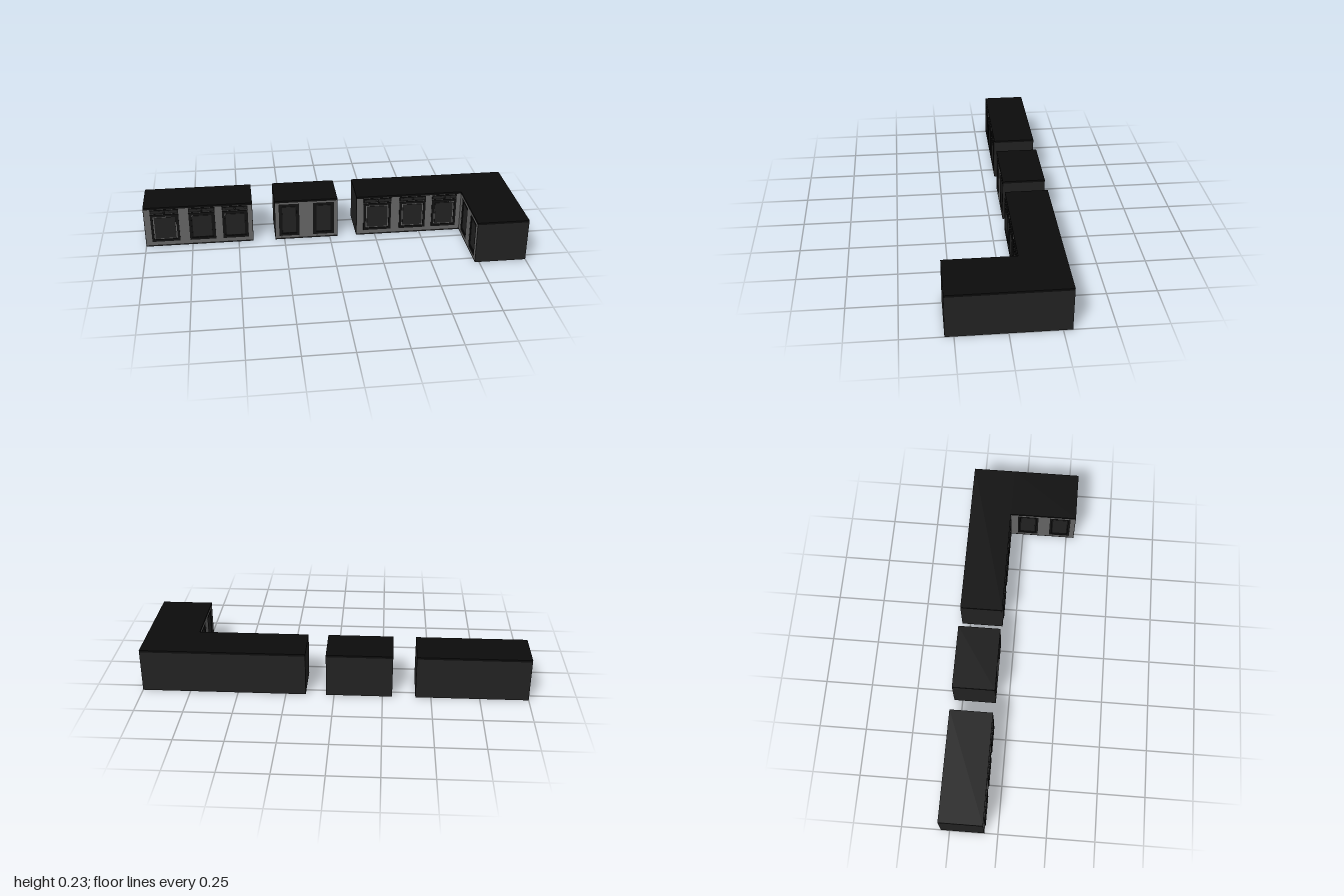
import * as THREE from 'three';

const mat = (c) => new THREE.MeshStandardMaterial({ color: c });
const body = mat(0x222222), counter = mat(0x0c0c0c), face = mat(0x666666);
const trim = mat(0x111111), panel = mat(0x222222);

const TOP = 0.233, SLAB = 0.222, BACK = -0.295, FRONT = -0.07, FACE = 0.01;

function box(parent, name, material, x0, x1, y0, y1, z0, z1) {
  const m = new THREE.Mesh(new THREE.BoxGeometry(x1 - x0, y1 - y0, z1 - z0), material);
  m.position.set((x0 + x1) / 2, (y0 + y1) / 2, (z0 + z1) / 2);
  m.name = name;
  parent.add(m);
  return m;
}

const rect = (C, x0, x1, y0, y1) => new C([
  [x0, y0], [x1, y0], [x1, y1], [x0, y1],
].map(([x, y]) => new THREE.Vector2(x, y)));

// Flat plate with rectangular openings, from z to z + depth
function plate(parent, name, material, outer, holes, z, depth) {
  const shape = rect(THREE.Shape, ...outer);
  for (const h of holes) shape.holes.push(rect(THREE.Path, ...h));
  const m = new THREE.Mesh(new THREE.ExtrudeGeometry(shape, { depth, bevelEnabled: false }), material);
  m.position.z = z;
  m.name = name;
  parent.add(m);
}

// Framed door with a raised centre panel; its front lies at z
function door(parent, x0, x1, y0, y1, z) {
  const g = new THREE.Group();
  g.name = 'door';
  const w = 0.013;
  plate(g, 'doorFrame', trim, [x0, x1, y0, y1], [[x0 + w, x1 - w, y0 + w, y1 - w]], z - 0.008, 0.008);
  box(g, 'doorRecess', trim, x0 + w, x1 - w, y0 + w, y1 - w, z - 0.008, z - 0.005);
  box(g, 'doorPanel', panel, x0 + w + 0.006, x1 - w - 0.006, y0 + w + 0.006, y1 - w - 0.006, z - 0.006, z - 0.002);
  parent.add(g);
}

// Drawer front with a round knob
function drawer(parent, x0, x1, z) {
  const g = new THREE.Group();
  g.name = 'drawer';
  box(g, 'drawerFront', trim, x0, x1, 0.198, 0.22, z - 0.008, z);
  box(g, 'drawerPanel', panel, x0 + 0.006, x1 - 0.006, 0.203, 0.215, z - 0.002, z + 0.0005);
  const knob = new THREE.Mesh(new THREE.SphereGeometry(0.005, 12, 8), trim);
  knob.position.set((x0 + x1) / 2, 0.209, z + 0.002);
  knob.name = 'drawerKnob';
  g.add(knob);
  parent.add(g);
}

// Face frame at z = 0 holding either drawers over doors, or tall inset doors
function cabinetFront(name, x0, x1, bays, withDrawers) {
  const g = new THREE.Group();
  g.name = name;
  if (withDrawers) {
    box(g, 'faceFrame', face, x0, x1, 0.008, SLAB, -FACE, 0);
    for (const [a, b] of bays) {
      door(g, a, b, 0.03, 0.193, 0.005);
      drawer(g, a, b, 0.005);
    }
  } else {
    const holes = bays.map(([a, b]) => [a, b, 0.02, 0.213]);
    plate(g, 'faceFrame', face, [x0, x1, 0.008, SLAB], holes, -FACE, FACE);
    for (const h of holes) door(g, ...h, -0.001);
  }
  box(g, 'baseRail', body, x0, x1, 0, 0.008, -FACE, 0);
  return g;
}

// Straight cabinet: carcass, worktop and front
function cabinet(name, x0, x1, bays, withDrawers, frontEnd = x1) {
  const g = new THREE.Group();
  g.name = name;
  box(g, 'carcass', body, x0, x1, 0, SLAB, BACK, FRONT - FACE);
  box(g, 'worktop', counter, x0, x1, SLAB, TOP, BACK, FRONT);
  // Dark end cheeks beside the lighter face frame
  const t = 0.003;
  box(g, 'endCheek', body, x0, x0 + t, 0, SLAB, FRONT - FACE, FRONT);
  if (frontEnd === x1) box(g, 'endCheek', body, x1 - t, x1, 0, SLAB, FRONT - FACE, FRONT);
  const front = cabinetFront('cabinetFront', x0 + t, frontEnd === x1 ? x1 - t : frontEnd, bays, withDrawers);
  front.position.z = FRONT;
  g.add(front);
  return g;
}

export function createModel() {
  const model = new THREE.Group();
  model.name = 'kitchenCounters';

  model.add(cabinet('leftCounter', -1, -0.42,
    [[-0.965, -0.815], [-0.762, -0.622], [-0.583, -0.445]], true));
  model.add(cabinet('middleCounter', -0.3, 0.042,
    [[-0.278, -0.167], [-0.092, 0.024]], false));

  // L-shaped counter: straight run plus a return leg with doors on its inner side
  const inner = 0.727, end = 0.293;
  const corner = cabinet('cornerCounter', 0.147, 1,
    [[0.186, 0.338], [0.385, 0.53], [0.566, 0.702]], true, inner);
  box(corner, 'returnCarcass', body, inner + FACE, 1, 0, SLAB, FRONT - FACE, end);
  box(corner, 'returnWorktop', counter, inner, 1, SLAB, TOP, FRONT, end);
  box(corner, 'returnEndCheek', body, inner, inner + FACE, 0, SLAB, end - 0.003, end);
  const side = cabinetFront('returnFront', FRONT, end - 0.003, [[-0.03, 0.085], [0.15, 0.265]], false);
  side.rotation.y = -Math.PI / 2;
  side.position.x = inner;
  corner.add(side);
  model.add(corner);

  return model;
}
